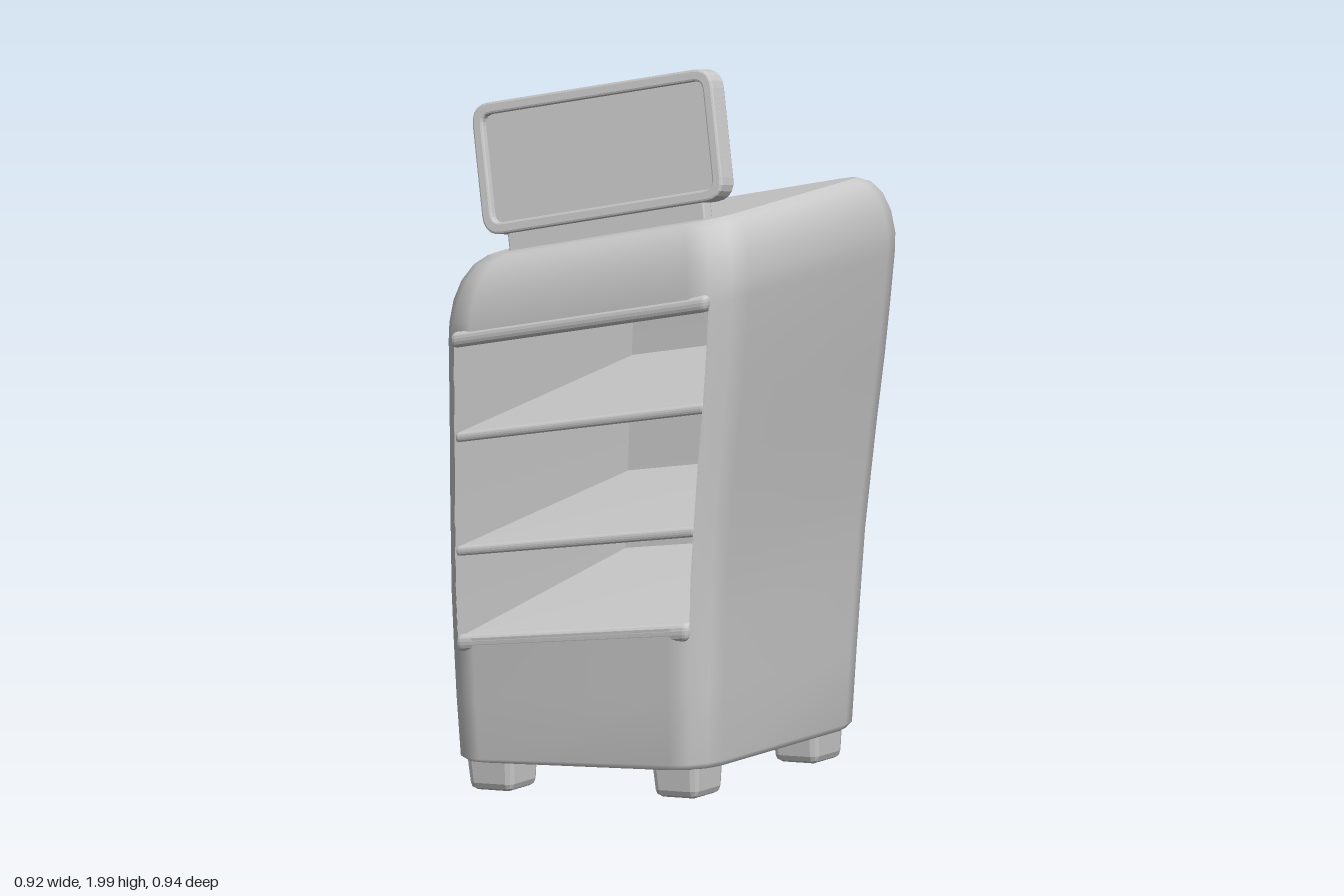
import * as THREE from 'three';
import { RoundedBoxGeometry } from 'three/addons/geometries/RoundedBoxGeometry.js';

const grey = new THREE.MeshStandardMaterial({ color: 0xcccccc });
const greyThin = new THREE.MeshStandardMaterial({ color: 0xcccccc, side: THREE.DoubleSide });

// Cartoon bend of the cabinet: [height, centre x, half width, centre z, half depth]
const BEND = [
  [0.10, -0.04, 0.40, 0.010, 0.412],
  [0.35, -0.042, 0.411, 0.005, 0.428],
  [0.60, -0.04, 0.421, 0.000, 0.441],
  [0.85, -0.029, 0.434, -0.005, 0.452],
  [1.10, -0.012, 0.449, -0.006, 0.461],
  [1.35, 0.002, 0.460, -0.003, 0.471],
  [1.53, 0.002, 0.461, -0.002, 0.472],
];

// u and w run from -1 to 1 across the width and depth, y is the height at x = 0
function bend(u, y, w, inset = 0) {
  let i = 0;
  while (i < BEND.length - 2 && y > BEND[i + 1][0]) i++;
  const a = BEND[i], b = BEND[i + 1];
  const k = THREE.MathUtils.clamp((y - a[0]) / (b[0] - a[0]), 0, 1);
  const [, cx, hx, cz, hz] = a.map((v, n) => v + (b[n] - v) * k);
  const x = cx + u * (hx - inset);
  const t = Math.max(0, (y - 0.11) / 1.415);
  return [x, y + x * (0.0625 + 0.1775 * Math.pow(t, 0.6)), cz + w * (hz - inset)];
}

function mesh(name, geometry, material = grey) {
  const m = new THREE.Mesh(geometry, material);
  m.name = name;
  return m;
}

// Move every vertex by a rule
function reshape(geometry, rule) {
  const p = geometry.attributes.position;
  for (let i = 0; i < p.count; i++) p.setXYZ(i, ...rule(p.getX(i), p.getY(i), p.getZ(i)));
  geometry.computeVertexNormals();
  return geometry;
}

// Plan outline: rounded square, 16 points, starting at the front
const RING = [];
[[1, 1], [1, -1], [-1, -1], [-1, 1]].forEach(([sx, sz], k) => {
  for (let s = 0; s <= 3; s++) {
    const a = (k * 90 + s * 30) * Math.PI / 180;
    RING.push([sx * 0.74 + 0.26 * Math.sin(a), sz * 0.74 + 0.26 * Math.cos(a)]);
  }
});

const OPEN_LOW = 0.47, OPEN_HIGH = 1.31;

// Outer shell lofted from rings, leaving the front opening free
function shell() {
  const rows = [[0.105, 0.012], [0.118, 0], [0.3, 0], [OPEN_LOW, 0], [0.6, 0], [0.725, 0], [0.88, 0],
    [1.045, 0], [1.18, 0], [OPEN_HIGH, 0], [1.36, 0.002], [1.42, 0.011], [1.47, 0.028], [1.507, 0.053], [1.525, 0.083]];
  const n = RING.length, pos = [], index = [];
  rows.forEach(([y, inset]) => RING.forEach(([u, w]) => pos.push(...bend(u, y, w, inset))));
  for (let i = 0; i < rows.length - 1; i++) {
    const open = rows[i][0] >= OPEN_LOW && rows[i + 1][0] <= OPEN_HIGH;
    for (let j = 0; j < n; j++) {
      if (open && (j >= 14 || j === 0)) continue;
      const a = i * n + j, b = i * n + (j + 1) % n;
      index.push(a, b, b + n, a, b + n, a + n);
    }
  }
  const g = new THREE.BufferGeometry();
  g.setAttribute('position', new THREE.Float32BufferAttribute(pos, 3));
  g.setIndex(index);
  g.computeVertexNormals();
  return g;
}

// Flat lid closing the shell at one height
function lid(y, inset, up) {
  const pos = [...bend(0, y, 0, inset)], index = [], n = RING.length;
  RING.forEach(([u, w]) => pos.push(...bend(u, y, w, inset)));
  for (let j = 0; j < n; j++) {
    const a = 1 + j, b = 1 + (j + 1) % n;
    index.push(0, up ? a : b, up ? b : a);
  }
  const g = new THREE.BufferGeometry();
  g.setAttribute('position', new THREE.Float32BufferAttribute(pos, 3));
  g.setIndex(index);
  g.computeVertexNormals();
  return g;
}

// Cavity space: t = 0 at the opening, 1 at the back; it narrows and rises inwards
const cavity = (u, y, t, rise = 0) => bend(u * (0.875 - 0.055 * t), y + rise * t, 0.962 - 1.84 * t);

// Thin wall patch from a rule of two parameters, each 0 to 1
const patch = (rule) => reshape(new THREE.PlaneGeometry(1, 1, 2, 10), (x, y) => rule(x + 0.5, y + 0.5));

// Rounded slab filling the cavity width, with its top at height y
function slab(y, thick, depth, front, rise) {
  const g = new RoundedBoxGeometry(0.88, thick, depth, 2, Math.min(thick, depth) * 0.4);
  return reshape(g, (x, py, z) => cavity(x / 0.44, y - thick / 2 + py, (depth / 2 - z) / 0.85 - front, rise));
}

function roundedRect(w, h, r, Type = THREE.Shape) {
  const s = new Type(), x = w / 2, y = h / 2;
  s.moveTo(-x + r, -y);
  s.lineTo(x - r, -y).quadraticCurveTo(x, -y, x, -y + r);
  s.lineTo(x, y - r).quadraticCurveTo(x, y, x - r, y);
  s.lineTo(-x + r, y).quadraticCurveTo(-x, y, -x, y - r);
  s.lineTo(-x, -y + r).quadraticCurveTo(-x, -y, -x + r, -y);
  return s;
}

export function createModel() {
  const model = new THREE.Group();
  model.name = 'displayCabinet';

  // Cabinet shell
  model.add(mesh('cabinetShell', shell()));
  model.add(mesh('cabinetTop', lid(1.525, 0.083, true)));
  model.add(mesh('cabinetBase', lid(0.105, 0.012, false)));

  // Inside of the cabinet
  const span = OPEN_HIGH - OPEN_LOW;
  for (const side of [-1, 1]) {
    model.add(mesh(side > 0 ? 'leftInnerWall' : 'rightInnerWall',
      patch((s, t) => cavity(side, OPEN_LOW + span * t, s)), greyThin));
  }
  model.add(mesh('innerBack', patch((s, t) => cavity(2 * s - 1, OPEN_LOW + span * t, 1)), greyThin));
  model.add(mesh('innerCeiling', patch((s, t) => cavity(2 * s - 1, OPEN_HIGH - 0.01, t)), greyThin));

  // Floor and two shelves, sloping up to the back
  model.add(mesh('cabinetFloor', slab(0.475, 0.03, 0.85, 0, 0.12)));
  model.add(mesh('lowerShelf', slab(0.73, 0.028, 0.85, 0, 0.08)));
  model.add(mesh('upperShelf', slab(1.05, 0.028, 0.85, 0, 0.08)));

  // Rounded lips above and below the opening
  model.add(mesh('headerLip', slab(1.335, 0.045, 0.06, 0.026, 0)));
  model.add(mesh('lowerLip', slab(0.482, 0.05, 0.05, 0.021, 0)));

  // Tapered feet
  for (const [name, x, y] of [['right', -0.33, 0], ['left', 0.248, 0.037]]) {
    for (const [end, z] of [['Front', 0.315], ['Back', -0.285]]) {
      const g = reshape(new RoundedBoxGeometry(0.15, 0.14, 0.155, 1, 0.02), (px, py, pz) => {
        const k = 0.87 + 0.95 * (py + 0.07);
        return [px * k, py, pz * k];
      });
      const foot = mesh(name + end + 'Foot', g);
      foot.position.set(x, y + 0.073, z);
      foot.rotation.z = 0.04;
      model.add(foot);
    }
  }

  // Tilted sign board: backing, raised rim and neck
  const sign = new THREE.Group();
  sign.name = 'sign';
  sign.position.set(-0.05, 1.735, 0.26);
  sign.rotation.set(-0.17, 0, 0.232, 'ZXY');
  const W = 0.77, H = 0.352;
  const bevel = { bevelThickness: 0.006, bevelSize: 0.006, bevelSegments: 2, curveSegments: 5 };
  const board = new THREE.ExtrudeGeometry(roundedRect(W - 0.012, H - 0.012, 0.05), { depth: 0.03, ...bevel });
  board.translate(0, 0, -0.025);
  sign.add(mesh('signBoard', board));
  const rimShape = roundedRect(W - 0.012, H - 0.012, 0.05);
  rimShape.holes.push(roundedRect(W - 0.05, H - 0.05, 0.035, THREE.Path));
  const rim = new THREE.ExtrudeGeometry(rimShape, { depth: 0.02, ...bevel });
  rim.translate(0, 0, 0.006);
  sign.add(mesh('signRim', rim));
  model.add(sign);

  const neck = mesh('signNeck', new RoundedBoxGeometry(0.63, 0.09, 0.04, 1, 0.006));
  neck.position.set(-0.012, 1.535, 0.285);
  neck.rotation.set(-0.17, 0, 0.235, 'ZXY');
  model.add(neck);

  return model;
}
